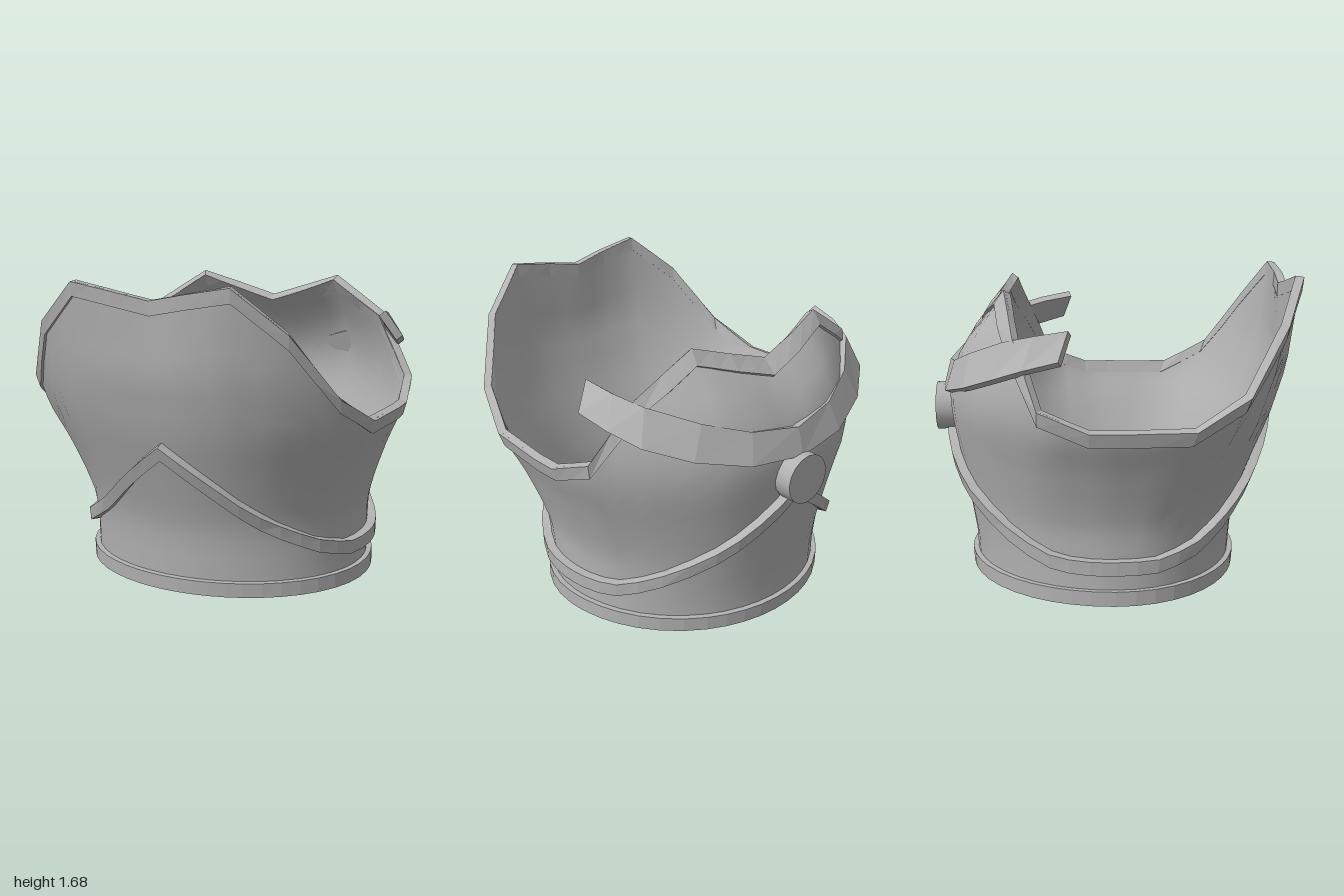
import * as THREE from 'three';

const steel = new THREE.MeshStandardMaterial({ color: 0xb2b2b2 });
steel.name = 'steel grey';

// piecewise-linear lookup in a list of [key, value]
function lookup(table, k) {
  let i = 1;
  while (i < table.length - 1 && table[i][0] < k) i++;
  const [k0, a] = table[i - 1], [k1, b] = table[i];
  return a + (b - a) * THREE.MathUtils.clamp((k - k0) / (k1 - k0), 0, 1);
}

// half width, front depth and back depth of the body by height
const WIDTH = [[0, 0.8], [0.2, 0.795], [0.4, 0.795], [0.55, 0.83], [0.75, 0.89], [0.9, 0.95], [1.0, 0.97], [1.7, 0.97]];
const FRONT = [[0, 0.665], [0.3, 0.685], [0.42, 0.71], [0.65, 0.79], [0.9, 0.88], [1.2, 0.955], [1.6, 0.97]];
const BACK = [[0, 0.785], [0.2, 0.795], [0.4, 0.83], [0.7, 0.885], [0.9, 0.92], [1.05, 0.925], [1.2, 0.885], [1.37, 0.78], [1.5, 0.65], [1.6, 0.56]];

// neck and arm edge, from front centre to back centre: angle, x, y, z
const EDGE = [
  [0, 0, 1.59, 0.965], [12, 0.2, 1.63, 0.98], [25, 0.43, 1.67, 0.975], [40, 0.68, 1.45, 0.86],
  [56, 0.87, 1.12, 0.65], [74, 0.96, 0.97, 0.38], [91, 0.985, 0.97, 0], [100, 0.98, 0.97, -0.15],
  [115, 0.94, 1.07, -0.4], [132, 0.74, 1.4, -0.52], [150, 0.43, 1.6, -0.575], [165, 0.22, 1.53, -0.625], [180, 0, 1.46, -0.65],
];
const edgeTables = [1, 2, 3].map((c) => EDGE.map((e) => [e[0], e[c]]));

function ellipse(deg, y) {
  const t = THREE.MathUtils.degToRad(deg), c = Math.cos(t);
  return new THREE.Vector3(lookup(WIDTH, y) * Math.sin(t), y, c * lookup(c > 0 ? FRONT : BACK, y));
}

// point on the body; deg runs 0 (front) to 360 by way of +x
function bodyPoint(deg, y) {
  const half = deg > 180 ? 360 - deg : deg;
  const top = new THREE.Vector3(...edgeTables.map((t) => lookup(t, half)));
  const k = (y / top.y) ** 2;
  const p = ellipse(half, y).addScaledVector(top.clone().sub(ellipse(half, top.y)), k);
  if (deg > 180) p.x = -p.x;
  return p;
}
const edgeHeight = (deg) => lookup(edgeTables[1], deg > 180 ? 360 - deg : deg);

// angles of the columns, two per edge segment
const angles = [];
for (let i = 0; i < EDGE.length - 1; i++) angles.push(EDGE[i][0], (EDGE[i][0] + EDGE[i + 1][0]) / 2);
angles.push(180);
for (let i = angles.length - 2; i > 0; i--) angles.push(360 - angles[i]);

function addMesh(group, name, geometry) {
  const mesh = new THREE.Mesh(geometry, steel);
  mesh.name = name;
  group.add(mesh);
  return mesh;
}

// smooth outer skin, and an inner skin pushed in along its normals
function makeSkins() {
  const rows = 16, n = angles.length, pos = [], index = [];
  for (let r = 0; r <= rows; r++)
    for (const a of angles) pos.push(...bodyPoint(a, (edgeHeight(a) * r) / rows).toArray());
  for (let r = 0; r < rows; r++)
    for (let i = 0; i < n; i++) {
      const a = r * n + i, b = r * n + ((i + 1) % n);
      index.push(a, b, b + n, a, b + n, a + n);
    }
  const outer = new THREE.BufferGeometry();
  outer.setAttribute('position', new THREE.Float32BufferAttribute(pos, 3));
  outer.setIndex(index);
  outer.computeVertexNormals();
  const inner = outer.clone(), p = inner.attributes.position, nor = outer.attributes.normal;
  for (let i = 0; i < p.count; i++)
    p.setXYZ(i, p.getX(i) - 0.03 * nor.getX(i), p.getY(i) - 0.03 * nor.getY(i), p.getZ(i) - 0.03 * nor.getZ(i));
  inner.setIndex(index.slice().reverse());
  inner.computeVertexNormals();
  return [outer, inner];
}

// box-section band between an upper and a lower line, reaching from inset to outset
function ribbon(upper, lower, inset, outset, closed) {
  const n = upper.length, pos = [], index = [];
  for (let i = 0; i < n; i++) {
    const prev = closed ? (i + n - 1) % n : Math.max(i - 1, 0);
    const next = closed ? (i + 1) % n : Math.min(i + 1, n - 1);
    const along = lower[next].clone().sub(lower[prev]).normalize();
    const normal = along.cross(upper[i].clone().sub(lower[i])).normalize();
    for (const [p, d] of [[lower[i], outset], [upper[i], outset], [upper[i], -inset], [lower[i], -inset]])
      pos.push(...p.clone().addScaledVector(normal, d).toArray());
  }
  for (let i = 0; i < (closed ? n : n - 1); i++) {
    const a = i * 4, b = ((i + 1) % n) * 4;
    for (let k = 0; k < 4; k++) {
      const m = (k + 1) % 4;
      index.push(a + k, b + k, b + m, a + k, b + m, a + m);
    }
  }
  if (!closed) {
    const e = (n - 1) * 4;
    index.push(0, 1, 2, 0, 2, 3, e, e + 2, e + 1, e, e + 3, e + 2);
  }
  const g = new THREE.BufferGeometry();
  g.setAttribute('position', new THREE.Float32BufferAttribute(pos, 3));
  g.setIndex(index);
  const flat = g.toNonIndexed();
  flat.computeVertexNormals();
  return flat;
}

export function createModel() {
  const model = new THREE.Group();
  model.name = 'breastplate';

  const [outer, inner] = makeSkins();
  addMesh(model, 'bodyOuter', outer);
  addMesh(model, 'bodyInner', inner);

  // raised trim on the neck and arm edge, and at the waist
  const line = (height) => angles.map((a) => bodyPoint(a, height(a)));
  addMesh(model, 'upperTrim', ribbon(line(edgeHeight), line((a) => edgeHeight(a) - 0.075), 0.032, 0.015, true));
  addMesh(model, 'waistTrim', ribbon(line(() => 0.08), line(() => 0), 0.035, 0.03, true));

  // belt that rises to a point at the front and to the disc at the back
  const BELT = [[0, 0.86], [28, 0.52], [42, 0.4], [58, 0.3], [75, 0.25], [105, 0.25], [118, 0.28], [135, 0.4], [155, 0.58], [180, 0.85]];
  const beltTop = (a) => lookup(BELT, a > 180 ? 360 - a : a);
  addMesh(model, 'belt', ribbon(line(beltTop), line((a) => beltTop(a) - 0.075), 0.01, 0.05, true));

  // strap across the back, standing free of the shoulders at both ends
  const mirror = (half) => {
    const pts = half.map((p) => new THREE.Vector3(...p));
    const other = pts.slice(0, -1).reverse().map((p) => new THREE.Vector3(-p.x, p.y, p.z));
    return [...pts, ...other];
  };
  const strapTop = mirror([[0.83, 1.45, -0.25], [0.8, 1.42, -0.42], [0.73, 1.38, -0.58], [0.52, 1.29, -0.76], [0.28, 1.21, -0.87], [0, 1.17, -0.92]]);
  const strapLow = mirror([[0.92, 1.31, -0.3], [0.88, 1.26, -0.48], [0.8, 1.2, -0.64], [0.6, 1.12, -0.8], [0.32, 1.05, -0.92], [0, 1.02, -0.96]]);
  addMesh(model, 'backStrap', ribbon(strapTop, strapLow, 0.045, 0, false));

  // disc where the strap and belt meet
  const disc = addMesh(model, 'backDisc', new THREE.CylinderGeometry(0.137, 0.137, 0.1, 16));
  disc.rotation.x = Math.PI / 2;
  disc.position.set(0, 0.9, -0.95);

  return model;
}
